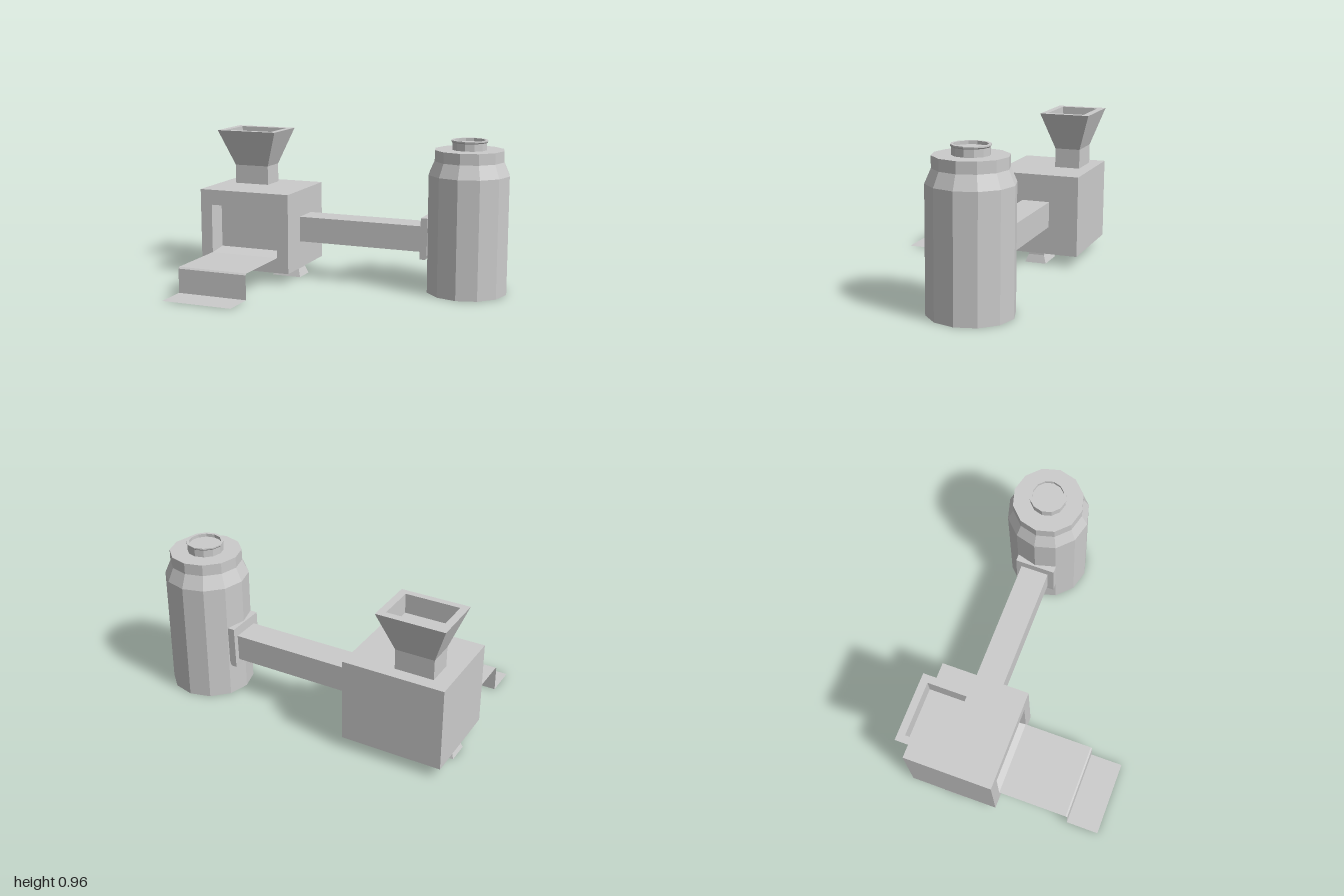
import * as THREE from 'three';

const material = new THREE.MeshStandardMaterial({ color: 0xcccccc, flatShading: true });
const sheetMaterial = new THREE.MeshStandardMaterial({ color: 0xcccccc, flatShading: true, side: THREE.DoubleSide });

// Closed loft through rectangles [y, x0, x1, z0, z1], capped at both ends.
function rectLoft(sections) {
  const points = [];
  const quad = (a, b, c, d) => points.push(...a, ...b, ...c, ...a, ...c, ...d);
  const rings = sections.map(([y, x0, x1, z0, z1]) => [[x0, y, z1], [x1, y, z1], [x1, y, z0], [x0, y, z0]]);
  for (let s = 0; s < rings.length - 1; s++) {
    for (let i = 0; i < 4; i++) {
      const j = (i + 1) % 4;
      quad(rings[s][i], rings[s][j], rings[s + 1][j], rings[s + 1][i]);
    }
  }
  quad(...rings[0].slice().reverse());
  quad(...rings[rings.length - 1]);
  const geometry = new THREE.BufferGeometry();
  geometry.setAttribute('position', new THREE.Float32BufferAttribute(points, 3));
  geometry.computeVertexNormals();
  return geometry;
}

export function createModel() {
  const model = new THREE.Group();
  const add = (name, geometry, x = 0, y = 0, z = 0, mat = material) => {
    const mesh = new THREE.Mesh(geometry, mat);
    mesh.name = name;
    mesh.position.set(x, y, z);
    model.add(mesh);
    return mesh;
  };

  // Machine housing, lofted from back to front and into the tapered recess (local z is -height)
  const housing = rectLoft([
    [-0.61, -1, -0.37, -0.59, -0.07],
    [-0.05, -1, -0.37, -0.59, -0.07],
    [-0.05, -0.92, -0.45, -0.49, -0.17],
    [-0.15, -0.9, -0.465, -0.48, -0.195],
  ]);
  add('housing', housing.rotateX(Math.PI / 2));

  // Feet under the housing, flared at the bottom
  for (const [name, x] of [['leftFoot', -0.48], ['rightFoot', -0.89]]) {
    add(name, rectLoft([
      [0, -0.1, 0.1, -0.07, 0.07],
      [0.05, -0.082, 0.082, -0.052, 0.052],
      [0.075, -0.08, 0.08, -0.05, 0.05],
    ]), x, 0, -0.33);
  }

  // Hopper: neck, flaring funnel and a straight-sided well
  add('hopper', rectLoft([
    [0.585, -0.9, -0.66, -0.53, -0.365],
    [0.715, -0.9, -0.66, -0.53, -0.365],
    [0.955, -0.99, -0.57, -0.61, -0.285],
    [0.955, -0.945, -0.615, -0.565, -0.325],
    [0.835, -0.945, -0.615, -0.565, -0.325],
  ]));

  // Output chute: a thin sheet bent along a [z, y] profile
  const profile = [[-0.05, 0.17], [0.39, 0.17], [0.4, 0.16], [0.4, 0.003], [0.605, 0.003]];
  const chute = new THREE.PlaneGeometry(0.47, 1, 1, profile.length - 1);
  const position = chute.attributes.position;
  for (let i = 0; i < position.count; i++) {
    const [z, y] = profile[Math.floor(i / 2)];
    position.setXYZ(i, position.getX(i), y, z);
  }
  chute.computeVertexNormals();
  add('chute', chute, -0.685, 0, 0, sheetMaterial);

  // Connecting duct and its flange on the tank
  add('duct', new THREE.BoxGeometry(0.87, 0.165, 0.18), 0.06, 0.3325, -0.33);
  add('flange', rectLoft([
    [0.21, 0.47, 0.505, -0.455, -0.2],
    [0.235, 0.47, 0.515, -0.455, -0.2],
    [0.475, 0.475, 0.52, -0.455, -0.2],
  ]));

  // Twelve-sided tank with a sloped shoulder
  const lathe = (points) => new THREE.LatheGeometry(points.map(([r, y]) => new THREE.Vector2(r, y)), 12);
  add('tank', lathe([[0, 0], [0.257, 0], [0.257, 0.75], [0.22, 0.835], [0.22, 0.905], [0, 0.905]]), 0.743, 0, -0.33);

  // Cap with a small lip and a recessed top
  add('cap', lathe([
    [0.11, 0.9], [0.11, 0.95], [0.116, 0.957], [0.116, 0.965], [0.098, 0.965], [0.098, 0.945], [0, 0.945],
  ]), 0.743, 0, -0.33);

  return model;
}
